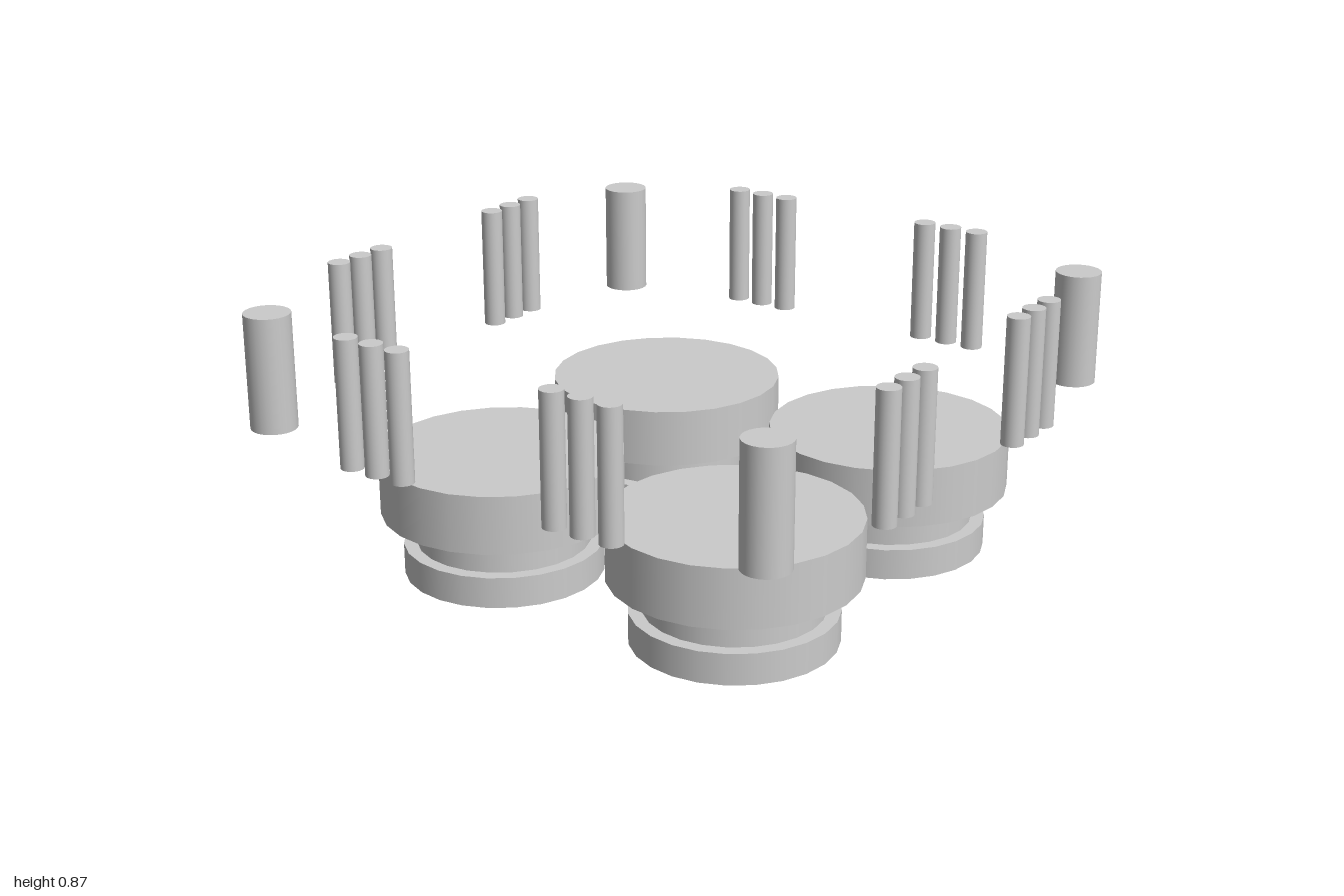
import * as THREE from 'three';

const material = new THREE.MeshStandardMaterial({ color: 0xcccccc });

// Upright closed cylinder between two heights
function cylinder(name, radius, bottom, top, x, z, sides) {
  const geometry = new THREE.CylinderGeometry(radius, radius, top - bottom, sides);
  const mesh = new THREE.Mesh(geometry, material);
  mesh.name = name;
  mesh.position.set(x, (bottom + top) / 2, z);
  return mesh;
}

// Stepped foot: base disc, narrow neck and wide top disc
function createFoot(x, z) {
  const foot = new THREE.Group();
  foot.name = 'foot';
  foot.position.set(x, 0, z);
  foot.add(
    cylinder('footBase', 0.303, 0, 0.095, 0, 0, 24),
    cylinder('footNeck', 0.263, 0.095, 0.198, 0, 0, 24),
    cylinder('footTop', 0.367, 0.198, 0.377, 0, 0, 24)
  );
  return foot;
}

export function createModel() {
  const model = new THREE.Group();
  model.name = 'feetAndPins';

  // Four feet, set slightly toward the front
  for (const x of [-0.42, 0.42]) {
    for (const z of [-0.37, 0.47]) model.add(createFoot(x, z));
  }

  // Thick posts at the corners
  for (const x of [-0.863, 0.863]) {
    for (const z of [-0.863, 0.863]) {
      model.add(cylinder('cornerPost', 0.07, 0.48, 0.832, x, z, 24));
    }
  }

  // Thin pins in groups of three, two groups along each edge
  const edge = 0.966;
  for (const side of [-1, 1]) {
    for (const half of [-1, 1]) {
      for (const offset of [0.266, 0.36, 0.454]) {
        model.add(
          cylinder('endPin', 0.034, 0.48, 0.866, half * offset, side * edge, 24),
          cylinder('sidePin', 0.034, 0.48, 0.866, side * edge, half * offset, 24)
        );
      }
    }
  }
  return model;
}
